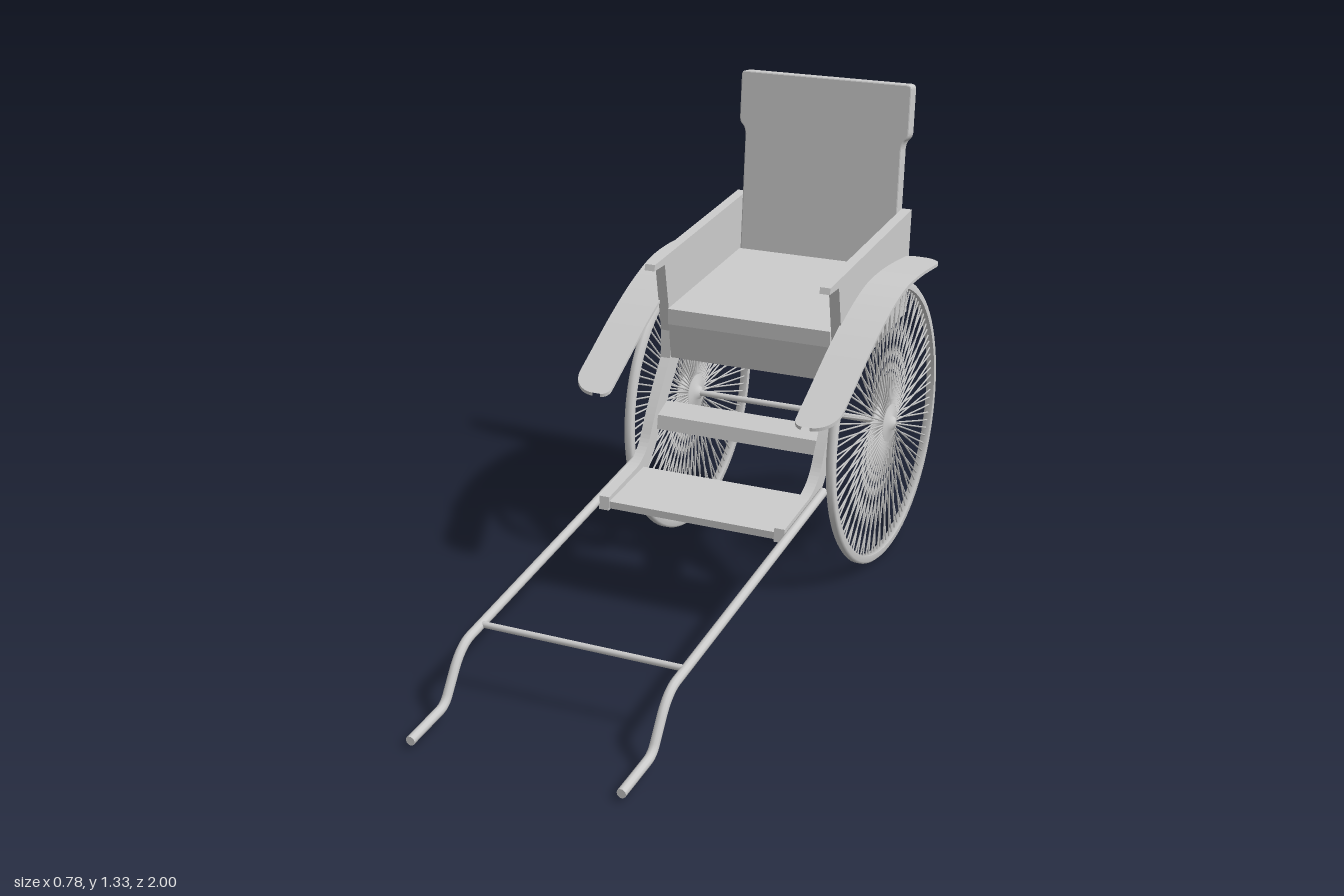
import * as THREE from 'three';

const mat = new THREE.MeshStandardMaterial({ color: 0xcccccc });
const thinMat = new THREE.MeshStandardMaterial({ color: 0xcccccc, side: THREE.DoubleSide });
const V = (x, y, z) => new THREE.Vector3(x, y, z);

function add(parent, name, geo, material = mat) {
  const m = new THREE.Mesh(geo, material);
  m.name = name;
  parent.add(m);
  return m;
}

// Extrudes a shape drawn in (z, y) across the width, centred on x
function slab(shape, x, width) {
  const s = Array.isArray(shape) ? new THREE.Shape(shape.map(p => new THREE.Vector2(...p))) : shape;
  return new THREE.ExtrudeGeometry(s, { depth: width, bevelEnabled: false, curveSegments: 10 })
    .rotateY(-Math.PI / 2).translate(x + width / 2, 0, 0);
}

// Straight round bar between two points
function bar(a, b, r, sides = 10) {
  const d = b.clone().sub(a);
  const g = new THREE.CylinderGeometry(r, r, d.length(), sides);
  g.applyQuaternion(new THREE.Quaternion().setFromUnitVectors(V(0, 1, 0), d.normalize()));
  const c = a.clone().add(b).multiplyScalar(0.5);
  return g.translate(c.x, c.y, c.z);
}

const HUB_Y = 0.41, HUB_Z = -0.585, WHEEL_X = 0.307;

function wheel(side) {
  const g = new THREE.Group();
  g.name = side > 0 ? 'leftWheel' : 'rightWheel';
  // Rim with a rounded rectangular section
  const h = 0.012;
  const section = [[0.387, -h], [0.404, -h], [0.41, -h * 0.5], [0.41, h * 0.5], [0.404, h], [0.387, h], [0.387, -h]];
  add(g, 'rim', new THREE.LatheGeometry(section.map(p => new THREE.Vector2(...p)), 80).rotateZ(Math.PI / 2), thinMat);
  // Hub with two flanges and axle cap
  const hub = [[0, -0.03], [0.02, -0.03], [0.02, -0.02], [0.055, -0.019], [0.055, -0.014], [0.025, -0.012],
    [0.025, 0.012], [0.055, 0.014], [0.055, 0.019], [0.022, 0.021], [0.018, 0.031], [0, 0.036]];
  add(g, 'hub', new THREE.LatheGeometry(hub.map(p => new THREE.Vector2(...p)), 24).rotateZ(-Math.PI / 2), thinMat);
  // Spokes, alternating between the two flanges
  const spokes = new THREE.Group();
  spokes.name = 'spokes';
  g.add(spokes);
  const n = 104;
  for (let i = 0; i < n; i++) {
    const a = i / n * Math.PI * 2, c = Math.cos(a), s = Math.sin(a), x = i % 2 ? 0.016 : -0.016;
    add(spokes, 'spoke', bar(V(x, c * 0.045, s * 0.045), V(0, c * 0.39, s * 0.39), 0.0026, 5));
  }
  g.position.set(side * WHEEL_X, HUB_Y, HUB_Z);
  return g;
}

// Thin curved mudguard: cross-sections swept along a (z, y) curve, with rounded corners
function fender(side) {
  const curve = new THREE.CatmullRomCurve3([V(0, 0.588, 0), V(0, 0.66, -0.12), V(0, 0.732, -0.24),
    V(0, 0.797, -0.37), V(0, 0.838, -0.49), V(0, 0.85, -0.6), V(0, 0.848, -0.72), V(0, 0.841, -0.822)]);
  const n = 64, pos = [], idx = [];
  for (let i = 0; i <= n; i++) {
    const t = (1 - Math.cos(i / n * Math.PI)) / 2;
    const p = curve.getPointAt(t);
    const edge = Math.min(t, 1 - t) * curve.getLength();
    const inset = r => edge >= r ? 0 : r - Math.sqrt(r * r - (r - edge) ** 2);
    const xi = 0.272 + inset(0.025), xo = 0.39 - inset(0.07);
    for (const [x, dy] of [[xi, 0], [xo, 0], [xo, -0.009], [xi, -0.009]]) pos.push(side * x, p.y + dy, p.z);
  }
  for (let i = 0; i < n; i++) for (let k = 0; k < 4; k++) {
    const a = i * 4 + k, b = i * 4 + (k + 1) % 4;
    if (side > 0) idx.push(a, b, a + 4, b, b + 4, a + 4);
    else idx.push(a, a + 4, b, b, a + 4, b + 4);
  }
  const geo = new THREE.BufferGeometry();
  geo.setAttribute('position', new THREE.Float32BufferAttribute(pos, 3));
  geo.setIndex(idx);
  const flat = geo.toNonIndexed();
  flat.computeVertexNormals();
  return flat;
}

// Side board: armrest with a front lip, seat side, and the curved arm down to the footboard
function sideBoard() {
  const s = new THREE.Shape();
  s.moveTo(0.055, 0.275);
  s.lineTo(0.05, 0.312);
  s.lineTo(-0.11, 0.34);
  s.quadraticCurveTo(-0.17, 0.355, -0.2, 0.41);
  s.quadraticCurveTo(-0.24, 0.49, -0.325, 0.6);
  s.lineTo(-0.33, 0.68);
  s.lineTo(-0.295, 0.882);
  s.lineTo(-0.23, 0.88);
  s.lineTo(-0.235, 0.897);
  s.lineTo(-0.845, 0.972);
  s.lineTo(-0.825, 0.76);
  s.lineTo(-0.83, 0.67);
  s.lineTo(-0.4, 0.605);
  s.quadraticCurveTo(-0.31, 0.49, -0.25, 0.4);
  s.quadraticCurveTo(-0.21, 0.32, -0.13, 0.305);
  return s;
}

export function createModel() {
  const root = new THREE.Group();
  root.name = 'pulledCart';

  for (const side of [1, -1]) {
    const label = side > 0 ? 'left' : 'right';
    root.add(wheel(side));
    add(root, label + 'Fender', fender(side));
    add(root, label + 'SideBoard', slab(sideBoard(), side * 0.261, 0.03));
    // Pulling shaft with a dropped handle
    const x = side * 0.286;
    const path = new THREE.CurvePath();
    const L = (a, b) => path.add(new THREE.LineCurve3(a, b));
    L(V(x, 0.022, 1), V(x, 0.04, 0.87));
    path.add(new THREE.QuadraticBezierCurve3(V(x, 0.04, 0.87), V(x, 0.043, 0.845), V(x, 0.065, 0.83)));
    L(V(x, 0.065, 0.83), V(x, 0.125, 0.79));
    path.add(new THREE.QuadraticBezierCurve3(V(x, 0.125, 0.79), V(x, 0.172, 0.755), V(x, 0.178, 0.71)));
    L(V(x, 0.178, 0.71), V(x, 0.335, -0.19));
    add(root, label + 'Shaft', new THREE.TubeGeometry(path, 120, 0.0125, 10, false), thinMat);
    add(root, label + 'HandleEnd', new THREE.CircleGeometry(0.0125, 10).translate(x, 0.022, 1));
    add(root, label + 'ShaftEnd', new THREE.CircleGeometry(0.0125, 10).rotateY(Math.PI).translate(x, 0.335, -0.19));
  }

  // Cross pieces
  add(root, 'axle', bar(V(-0.34, HUB_Y, HUB_Z), V(0.34, HUB_Y, HUB_Z), 0.009, 12));
  add(root, 'shaftCrossbar', bar(V(-0.286, 0.188, 0.665), V(0.286, 0.188, 0.665), 0.0085));
  add(root, 'footboard', slab([[0.05, 0.28], [0.05, 0.3], [-0.155, 0.33], [-0.155, 0.308]], 0, 0.492));
  add(root, 'frontRail', slab([[-0.24, 0.415], [-0.247, 0.455], [-0.305, 0.48], [-0.298, 0.44]], 0, 0.492));

  // Seat, rising slightly towards the back
  add(root, 'seat', slab([[-0.312, 0.705], [-0.312, 0.75], [-0.8, 0.808], [-0.8, 0.763]], 0, 0.492));
  add(root, 'seatFrontPanel', slab([[-0.33, 0.602], [-0.318, 0.706], [-0.348, 0.71], [-0.36, 0.604]], 0, 0.492));

  // Backrest with a wider head, leaning back
  const H = 0.67, b = new THREE.Shape();
  b.moveTo(-0.245, 0);
  b.lineTo(0.245, 0);
  b.lineTo(0.245, 0.485);
  b.quadraticCurveTo(0.247, 0.505, 0.256, 0.512);
  b.quadraticCurveTo(0.265, 0.52, 0.265, 0.535);
  b.lineTo(0.265, H - 0.014);
  b.quadraticCurveTo(0.265, H, 0.251, H);
  b.lineTo(-0.251, H);
  b.quadraticCurveTo(-0.265, H, -0.265, H - 0.014);
  b.lineTo(-0.265, 0.535);
  b.quadraticCurveTo(-0.265, 0.52, -0.256, 0.512);
  b.quadraticCurveTo(-0.247, 0.505, -0.245, 0.485);
  const back = add(root, 'backrest', new THREE.ExtrudeGeometry(b, {
    depth: 0.034, bevelSize: 0.004, bevelOffset: -0.004, bevelThickness: 0.004, bevelSegments: 2, curveSegments: 6,
  }).translate(0, 0, -0.017));
  back.position.set(0, 0.664, -0.803);
  back.rotation.x = -0.088;

  return root;
}
